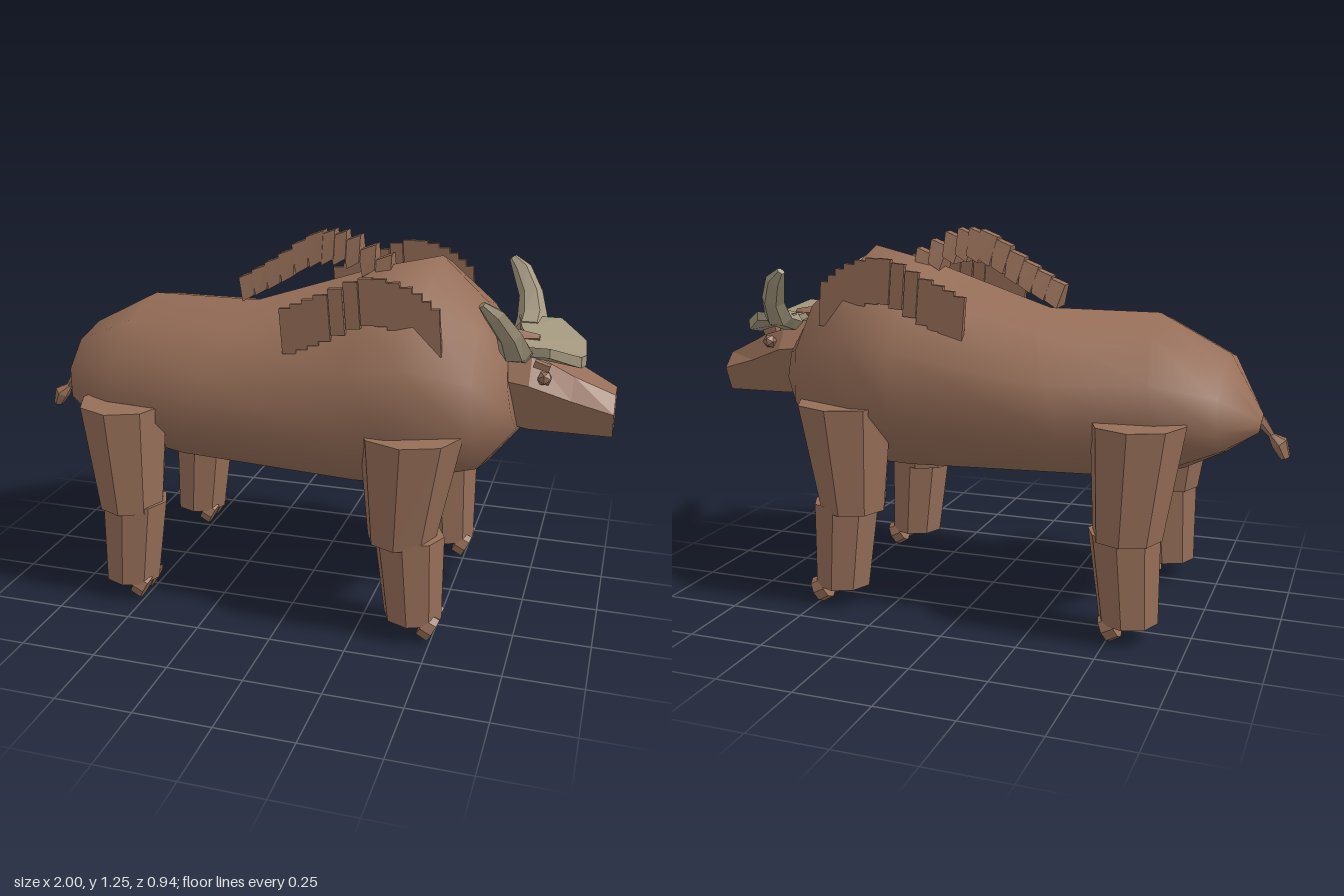
import * as THREE from 'three';

const V = (x, y, z) => new THREE.Vector3(x, y, z);

// Skin a list of closed rings (equal point counts) and cap both ends
function loft(rings, smooth = false) {
  const n = rings[0].length, pos = [], idx = [];
  const mid = r => r.reduce((a, p) => a.add(p), V(0, 0, 0)).divideScalar(n);
  const pts = [...rings.flat(), mid(rings[0]), mid(rings[rings.length - 1])];
  pts.forEach(p => pos.push(p.x, p.y, p.z));
  const c0 = rings.length * n, last = c0 - n;
  for (let j = 0; j < n; j++) {
    const k = (j + 1) % n;
    for (let i = 0; i < rings.length - 1; i++) {
      const a = i * n + j, b = i * n + k;
      idx.push(a, b, b + n, a, b + n, a + n);
    }
    idx.push(c0, k, j, c0 + 1, last + j, last + k);
  }
  // Make faces point outward whichever way the rings run
  let volume = 0;
  for (let i = 0; i < idx.length; i += 3) {
    const [a, b, c] = [0, 1, 2].map(q => pts[idx[i + q]].clone().sub(pts[c0]));
    volume += a.dot(b.cross(c));
  }
  if (volume < 0) idx.reverse();
  let g = new THREE.BufferGeometry();
  g.setAttribute('position', new THREE.Float32BufferAttribute(pos, 3));
  g.setIndex(idx);
  if (!smooth) g = g.toNonIndexed();
  g.computeVertexNormals();
  return g;
}

// Ring of n points around a centre, spanned by two half-axes
function ring(c, u, v, n) {
  return Array.from({ length: n }, (_, i) => {
    const a = i / n * Math.PI * 2;
    return c.clone().addScaledVector(u, Math.cos(a)).addScaledVector(v, Math.sin(a));
  });
}

// Faceted tube along points; each size is [half width along ref, half width across]
function limb(path, sizes, n, ref) {
  return loft(path.map((p, i) => {
    const t = path[Math.min(i + 1, path.length - 1)].clone().sub(path[Math.max(i - 1, 0)]).normalize();
    const u = ref.clone().addScaledVector(t, -ref.dot(t)).normalize();
    const v = t.clone().cross(u);
    return ring(p, u.multiplyScalar(sizes[i][0]), v.multiplyScalar(sizes[i][1]), n);
  }));
}

export function createModel() {
  const model = new THREE.Group();
  model.name = 'buffalo';
  const hide = new THREE.MeshStandardMaterial({ color: 0x966e58 });
  hide.name = 'brown hide';
  const horn = new THREE.MeshStandardMaterial({ color: 0xa3977e });
  horn.name = 'pale horn';
  const add = (name, geometry, material = hide, parent = model) => {
    const m = new THREE.Mesh(geometry, material);
    m.name = name;
    parent.add(m);
    return m;
  };
  const X = V(1, 0, 0), Z = V(0, 0, 1);

  // Body: top x, top y, bottom x, bottom y, half width
  const body = [
    [-0.91, 0.69, -0.90, 0.63, 0.02],
    [-0.80, 0.88, -0.80, 0.56, 0.24],
    [-0.57, 1.00, -0.66, 0.49, 0.34],
    [-0.20, 1.00, -0.42, 0.45, 0.37],
    [0.22, 1.14, 0.20, 0.42, 0.42],
    [0.43, 1.19, 0.30, 0.42, 0.43],
    [0.58, 1.05, 0.60, 0.50, 0.33],
    [0.66, 0.93, 0.71, 0.64, 0.19],
  ];
  add('body', loft(body.map(([tx, ty, bx, by, w]) => {
    const top = V(tx, ty, 0), bottom = V(bx, by, 0);
    const c = top.clone().add(bottom).multiplyScalar(0.5);
    return ring(c, top.sub(c), V(0, 0, w), 10);
  }), true));

  // Legs, each with a thigh, shin and two toes
  const level = (x, y, z, rx, rz) => ring(V(x, y, z), V(rx, 0, 0), V(0, 0, rz), 8);
  for (const s of [1, -1]) {
    for (const front of [true, false]) {
      const leg = new THREE.Group();
      leg.name = (front ? 'front' : 'hind') + (s > 0 ? 'Right' : 'Left') + 'Leg';
      model.add(leg);
      const topX = front ? 0.405 : -0.57, kneeX = front ? 0.385 : -0.55;
      const topZ = s * (front ? 0.315 : 0.295), z = s * 0.315;
      const ankleX = front ? 0.43 : -0.56;
      add('upperLeg', loft([
        level(topX, 0.70, topZ, front ? 0.165 : 0.15, 0.155),
        level(kneeX, 0.34, z, 0.11, 0.115),
      ]), hide, leg);
      add('lowerLeg', loft([
        level(ankleX + (front ? -0.02 : 0.02), 0.36, z, 0.115, 0.105),
        level(ankleX, 0.07, z, 0.095, 0.095),
      ]), hide, leg);
      const toeX = front ? 0 : -1;
      for (const d of [-0.042, 0.042]) {
        add('toe', limb(
          [V(0.47 + toeX, 0.066, z + d), V(0.507 + toeX, 0.047, z + d)],
          [[0.037, 0.042], [0.037, 0.044]], 8, Z), hide, leg);
      }
    }
  }

  // Head: six-sided sections tapering to the muzzle
  // x, roof y, cheek y, jaw y, roof half width, cheek half width, jaw half width
  const head = [
    [0.65, 0.93, 0.84, 0.68, 0.09, 0.15, 0.09],
    [0.74, 0.92, 0.83, 0.665, 0.10, 0.16, 0.09],
    [0.87, 0.85, 0.78, 0.66, 0.08, 0.12, 0.075],
    [1.00, 0.79, 0.74, 0.655, 0.045, 0.095, 0.06],
  ];
  add('head', loft(head.map(([x, r, c, j, rw, cw, jw]) => [
    V(x, r, rw), V(x, c, cw), V(x, j, jw), V(x, j, -jw), V(x, c, -cw), V(x, r, -rw),
  ])));
  add('poll', limb([V(0.64, 0.95, 0), V(0.75, 0.945, 0)], [[0.06, 0.025], [0.015, 0.01]], 4, Z));

  // Boss: a shallow V plate across the brow
  // z, back x, back y, front x, front y, thickness
  const boss = [
    [0.19, 0.66, 0.965, 0.80, 0.965, 0.03],
    [0.10, 0.68, 0.95, 0.89, 0.92, 0.035],
    [0, 0.71, 0.945, 0.90, 0.90, 0.035],
  ];
  const slices = [...boss, ...boss.slice(0, 2).reverse().map(([z, ...r]) => [-z, ...r])];
  add('hornBoss', loft(slices.map(([z, bx, by, fx, fy, t]) => [
    V(bx, by, z), V(fx, fy, z), V(fx, fy - t, z), V(bx, by - t, z),
  ])), horn);

  for (const s of [1, -1]) {
    // Flattened horns sweeping out, up and back
    add('horn', limb(
      [V(0.70, 0.93, s * 0.14), V(0.70, 0.955, s * 0.22), V(0.685, 1.02, s * 0.275),
        V(0.645, 1.09, s * 0.325), V(0.61, 1.125, s * 0.345)],
      [[0.05, 0.035], [0.05, 0.035], [0.04, 0.03], [0.033, 0.022], [0.014, 0.01]], 6, X), horn);
    // Eyes
    const eye = add('eye', new THREE.IcosahedronGeometry(0.025, 0));
    eye.position.set(0.785, 0.855, s * 0.14);
    const brow = add('brow', new THREE.BoxGeometry(0.05, 0.02, 0.03));
    brow.position.set(0.775, 0.895, s * 0.14);
    brow.rotation.z = -0.3;
  }

  // Crest: overlapping tapered tufts along an arch
  const arch = new THREE.CatmullRomCurve3([
    V(-0.215, 1.015, 0), V(-0.10, 1.075, 0), V(0.02, 1.145, 0), V(0.12, 1.155, 0), V(0.25, 1.10, 0),
  ]);
  for (let i = 0; i < 11; i++) {
    const p = arch.getPoint(i / 10);
    const h = 0.095 - 0.02 * Math.abs(i - 5) / 5;
    const tip = p.clone().add(V(-0.012, h, 0));
    const quad = (c, w, d) => [
      V(c.x - w, c.y - 0.012, d), V(c.x + w, c.y + 0.012, d),
      V(c.x + w, c.y + 0.012, -d), V(c.x - w, c.y - 0.012, -d),
    ];
    add('crestTuft', loft([quad(p, 0.02, 0.05), quad(tip, 0.03, 0.024)]));
  }

  // Shoulder fringes: rows of thin blades on both flanks
  const fringe = new THREE.CatmullRomCurve3([
    V(0.01, 0.99, 0), V(0.12, 1.04, 0), V(0.26, 1.10, 0), V(0.38, 1.08, 0), V(0.465, 1.02, 0),
  ]);
  for (const s of [1, -1]) {
    for (let i = 0; i < 13; i++) {
      const p = fringe.getPoint(i / 12);
      const blade = add('fringeBlade', new THREE.BoxGeometry(0.045, 0.145, 0.018));
      blade.position.set(p.x, p.y, s * 0.31);
      blade.rotation.z = 0.08;
    }
  }

  // Tail and its tuft
  add('tail', limb([V(-0.87, 0.70, 0), V(-0.91, 0.66, 0), V(-0.95, 0.61, 0)],
    [[0.02, 0.02], [0.014, 0.018], [0.008, 0.008]], 6, Z));
  add('tailTuft', limb([V(-0.935, 0.625, 0), V(-0.965, 0.60, 0), V(-0.985, 0.555, 0)],
    [[0.01, 0.01], [0.034, 0.028], [0.026, 0.016]], 6, Z));
  return model;
}
